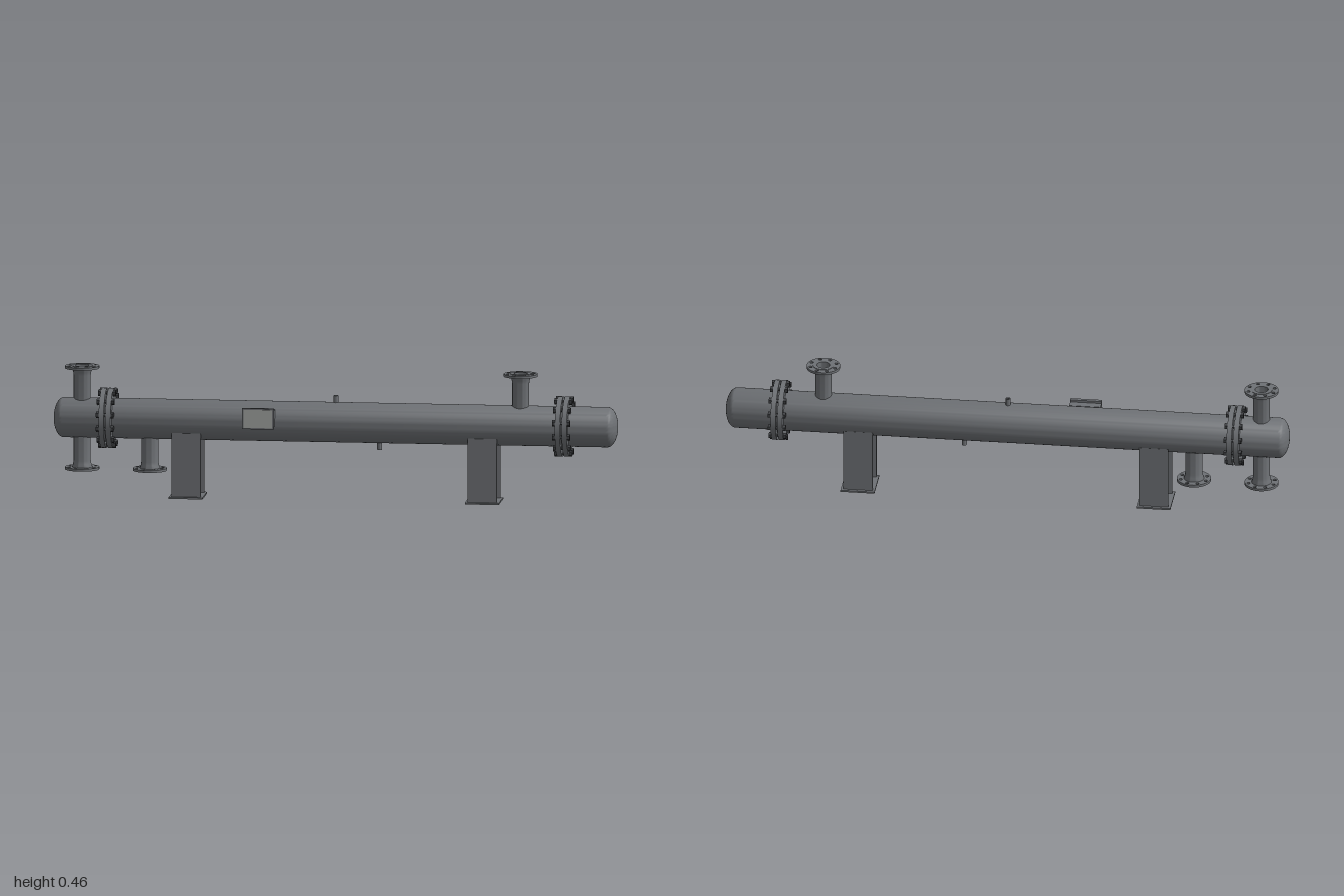
import * as THREE from 'three';
import { toCreasedNormals } from 'three/addons/utils/BufferGeometryUtils.js';

const AXIS = 0.274, R = 0.071; // shell axis height and radius

export function createModel() {
  const model = new THREE.Group();
  const mat = (name, color) => {
    const m = new THREE.MeshStandardMaterial({ color });
    m.name = name;
    return m;
  };
  const steel = mat('grey steel', 0x6e7175);
  const dark = mat('dark bolts', 0x3e4043);
  const plate = mat('name plate metal', 0xa3a5a2);

  const add = (parent, name, geo, material, x = 0, y = 0, z = 0) => {
    const m = new THREE.Mesh(geo, material);
    m.name = name;
    m.position.set(x, y, z);
    parent.add(m);
    return m;
  };
  const box = (w, h, d) => new THREE.BoxGeometry(w, h, d);
  const lathe = (pts, seg = 48) => toCreasedNormals(
    new THREE.LatheGeometry(pts.map(p => new THREE.Vector2(p[0], p[1])), seg), 0.6);

  // Disc with a bore and a ring of holes, thickness running up y
  const ring = (outer, bore, thick, count = 0, pitch = 0, hole = 0) => {
    const s = new THREE.Shape().absarc(0, 0, outer, 0, Math.PI * 2, false);
    const cut = (x, y, r) => s.holes.push(new THREE.Path().absarc(x, y, r, 0, Math.PI * 2, true));
    cut(0, 0, bore);
    for (let i = 0; i < count; i++) {
      const a = (i + 0.5) / count * Math.PI * 2;
      cut(Math.cos(a) * pitch, Math.sin(a) * pitch, hole);
    }
    const g = new THREE.ExtrudeGeometry(s, { depth: thick, bevelEnabled: false, curveSegments: 24 });
    return toCreasedNormals(g.rotateX(-Math.PI / 2), 0.6);
  };

  // Shell with an elliptical head at each end
  const head = [];
  for (let i = 0; i <= 10; i++) {
    const a = i / 10 * Math.PI / 2;
    head.push([R * Math.sin(a), -0.964 - 0.036 * Math.cos(a)]);
  }
  const profile = [...head, ...head.slice().reverse().map(([r, y]) => [r, -y])];
  add(model, 'shell', lathe(profile, 64).rotateZ(-Math.PI / 2), steel, 0, AXIS, 0);

  // Bolted girth flange pairs
  const girth = ring(0.106, 0.068, 0.018).rotateZ(-Math.PI / 2);
  const gasket = new THREE.CylinderGeometry(0.083, 0.083, 0.008, 48).rotateZ(Math.PI / 2);
  const nut = toCreasedNormals(
    new THREE.CylinderGeometry(0.0115, 0.0115, 0.01, 6).rotateY(Math.PI / 2).rotateZ(Math.PI / 2), 0.3);
  const stud = new THREE.CylinderGeometry(0.006, 0.006, 0.06, 12).rotateZ(Math.PI / 2);
  for (const side of [-1, 1]) {
    const g = new THREE.Group();
    g.name = 'girthFlange';
    g.position.set(side * 0.809, AXIS, 0);
    model.add(g);
    add(g, 'outerFlangePlate', girth, steel, 0.003);
    add(g, 'innerFlangePlate', girth, steel, -0.021);
    add(g, 'gasket', gasket, steel);
    for (let i = 0; i < 12; i++) {
      const a = (i + 0.5) / 12 * Math.PI * 2;
      const y = Math.cos(a) * 0.0955, z = Math.sin(a) * 0.0955;
      add(g, 'stud', stud, dark, 0, y, z);
      for (const s of [-1, 1]) add(g, 'nut', nut, dark, s * 0.026, y, z);
    }
  }

  // Weld-neck nozzles with drilled flanges and open bores
  const neck = lathe([[0.03, 0.05], [0.03, 0.152], [0.032, 0.164], [0.036, 0.176],
    [0.038, 0.176], [0.038, 0.186], [0.024, 0.186], [0.024, 0.05]]);
  const nozzleFlange = ring(0.06, 0.03, 0.009, 8, 0.048, 0.006);
  for (const [x, down] of [[-0.9, false], [0.655, false], [-0.9, true], [-0.66, true]]) {
    const g = new THREE.Group();
    g.name = down ? 'bottomNozzle' : 'topNozzle';
    g.position.set(x, AXIS, 0);
    if (down) g.rotation.x = Math.PI;
    add(g, 'neck', neck, steel);
    add(g, 'nozzleFlange', nozzleFlange, steel, 0, 0.1755, 0);
    model.add(g);
  }

  // Small vent on top and drain below
  const coupling = lathe([[0.009, 0.06], [0.009, 0.095], [0.005, 0.095], [0.005, 0.074], [0, 0.074]], 20);
  add(model, 'vent', coupling, steel, 0, AXIS, 0);
  add(model, 'drain', coupling, steel, 0.155, AXIS, 0).rotation.x = Math.PI;

  // H-section supports on base plates
  for (const x of [-0.525, 0.525]) {
    const g = new THREE.Group();
    g.name = 'support';
    g.position.x = x;
    add(g, 'basePlate', box(0.12, 0.006, 0.138), steel, 0, 0.003, 0);
    add(g, 'web', box(0.007, 0.21, 0.106), steel, 0, 0.111, 0);
    for (const s of [-1, 1])
      add(g, 'supportFlange', box(0.104, 0.228, 0.006), steel, 0, 0.12, s * 0.055);
    model.add(g);
  }

  // Name plate on a stand-off bracket
  const sign = new THREE.Group();
  sign.name = 'namePlate';
  sign.position.set(-0.265, 0.296, 0);
  add(sign, 'bracket', box(0.112, 0.058, 0.03), steel, 0, 0, 0.074);
  add(sign, 'backing', box(0.112, 0.074, 0.013), steel, 0, 0, 0.0955);
  add(sign, 'plate', box(0.102, 0.064, 0.003), plate, 0, 0, 0.1035);
  model.add(sign);

  return model;
}
